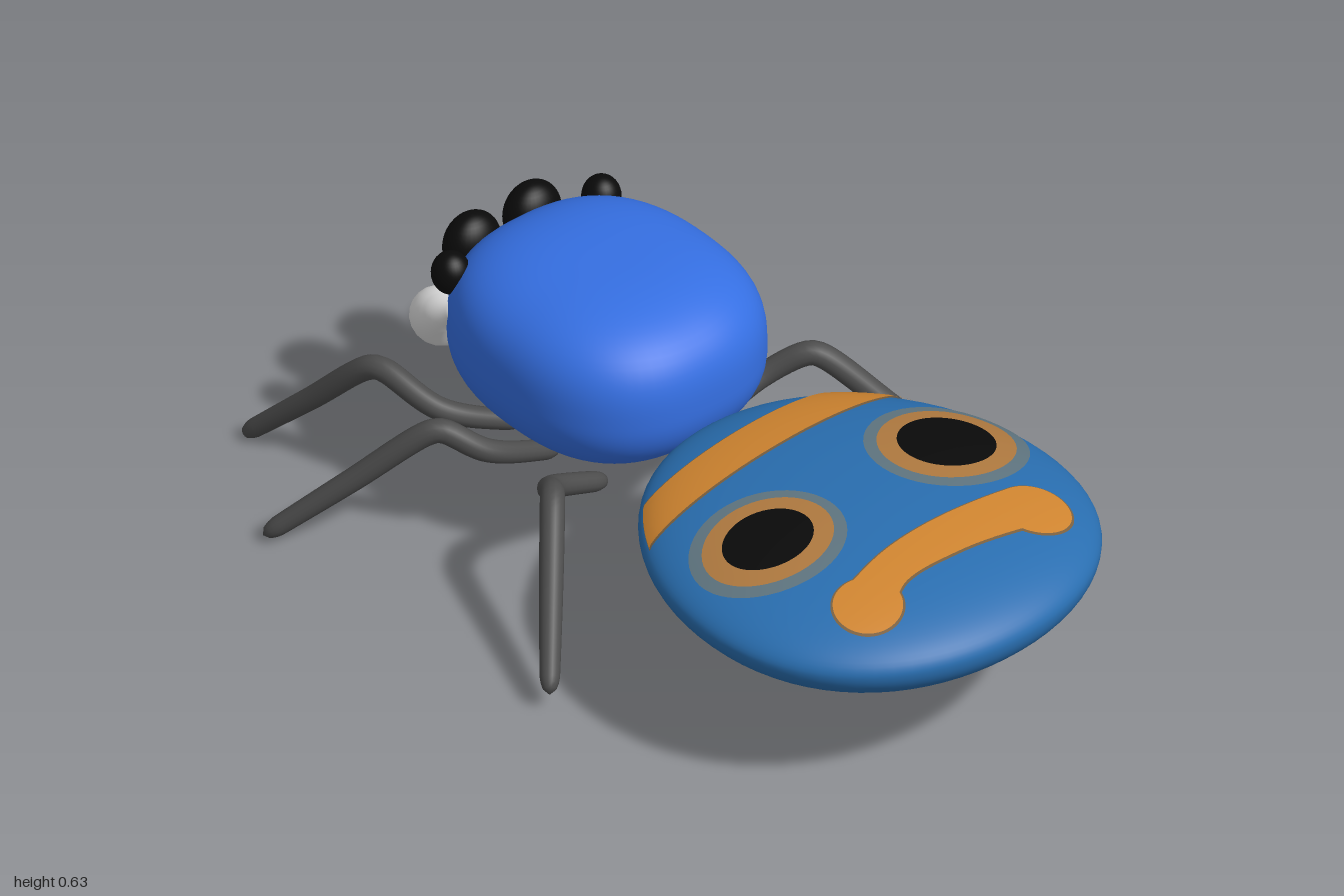
import * as THREE from 'three';
import { mergeVertices } from 'three/addons/utils/BufferGeometryUtils.js';

const mat = (name, color) => {
  const m = new THREE.MeshStandardMaterial({ color });
  m.name = name;
  return m;
};

const Z0 = -0.023; // the body axis

// Sphere reshaped into a superellipsoid of unit size, then mapped by a rule
function superEllipsoid(n, top, bottom, map) {
  let g = new THREE.SphereGeometry(1, 72, 48);
  g.deleteAttribute('uv');
  g.deleteAttribute('normal');
  const p = g.attributes.position;
  const v = new THREE.Vector3();
  for (let i = 0; i < p.count; i++) {
    v.fromBufferAttribute(p, i);
    const m = v.y > 0 ? top : bottom;
    const flat = Math.abs(v.x) ** n + Math.abs(v.z) ** n;
    v.multiplyScalar((flat ** (m / n) + Math.abs(v.y) ** m) ** (-1 / m));
    map(v);
    p.setXYZ(i, v.x, v.y, v.z);
  }
  g = mergeVertices(g, 1e-5);
  g.computeVertexNormals();
  return g;
}

// Abdomen: flat lens, widest behind its middle
const AB = { n: 2.05, y: 0.357, top: 0.118, bottom: 0.158, half: 0.478, skew: 0.05 };
function abdomenMap(v) {
  v.x = 0.5 + 0.5 * v.x + AB.skew * (1 - v.x * v.x);
  v.y = AB.y + v.y * (v.y > 0 ? AB.top : AB.bottom);
  v.z = Z0 + v.z * AB.half;
  return v;
}
// Point on the upper side above x, z, pulled inside the rim where needed
function onAbdomen(x, z) {
  const c = (0.5 - Math.sqrt(0.25 + 4 * AB.skew * (AB.skew + 0.5 - x))) / (2 * AB.skew);
  const w = (z - Z0) / AB.half;
  const r = (Math.abs(c) ** AB.n + Math.abs(w) ** AB.n) ** (1 / AB.n);
  const k = Math.min(1, 0.98 / r);
  return abdomenMap(new THREE.Vector3(c * k, Math.sqrt(1 - (r * k) ** 2), w * k));
}

// Lays a flat patch onto the top of the abdomen
function drape(g, place, lift) {
  g.rotateX(-Math.PI / 2);
  const p = g.attributes.position;
  for (let i = 0; i < p.count; i++) {
    const q = onAbdomen(...place(p.getX(i), p.getZ(i)));
    p.setXYZ(i, q.x, q.y + lift, q.z);
  }
  g.computeVertexNormals();
  return g;
}
const disc = (cx, cz, rx, rz, lift) =>
  drape(new THREE.RingGeometry(0.001, 1, 48, 8), (x, z) => [cx + x * rx, cz + z * rz], lift);

// Ribbon between two edges, each a list of [x, z] running from back (-z) to front (+z)
function ribbon(left, right, lift) {
  const curve = (pts) => new THREE.CatmullRomCurve3(pts.map(([x, z]) => new THREE.Vector3(x, 0, z)));
  const a = curve(left), b = curve(right);
  return drape(new THREE.PlaneGeometry(1, 1, 10, 60), (u, t) => {
    const k = Math.min(1, Math.max(0, t + 0.5));
    const q = a.getPoint(k).lerp(b.getPoint(k), u + 0.5);
    return [q.x, q.z];
  }, lift);
}

// Tube with a radius that changes along its length and rounded ends
function limb(points, radius, sides = 14, steps = 60) {
  const curve = new THREE.CatmullRomCurve3(points.map((q) => new THREE.Vector3(...q)), false, 'centripetal');
  const g = new THREE.TubeGeometry(curve, steps, 1, sides, false);
  const p = g.attributes.position, v = new THREE.Vector3();
  for (let i = 0; i <= steps; i++) {
    const t = i / steps, c = curve.getPointAt(t);
    const e = Math.min(1, Math.min(t, 1 - t) / 0.06);
    const r = radius(t) * Math.sqrt(Math.max(0, 1 - (1 - e) ** 2));
    for (let j = 0; j <= sides; j++) {
      const k = i * (sides + 1) + j;
      v.fromBufferAttribute(p, k).sub(c).multiplyScalar(r).add(c);
      p.setXYZ(k, v.x, v.y, v.z);
    }
  }
  g.deleteAttribute('uv');
  g.deleteAttribute('normal');
  const m = mergeVertices(g, 1e-5);
  m.computeVertexNormals();
  return m;
}

export function createModel() {
  const root = new THREE.Group();
  root.name = 'spider';
  const blue = mat('bodyBlue', 0x356fe2);
  const teal = mat('abdomenBlue', 0x296eb0);
  const orange = mat('stripeOrange', 0xd08530);
  const tan = mat('ringTan', 0xb07a40);
  const halo = mat('haloGrey', 0x5f7580);
  const brown = mat('edgeBrown', 0x7a6040);
  const grey = mat('legGrey', 0x4c4c4c);
  const black = mat('eyeBlack', 0x0a0a0a);
  const white = mat('palpWhite', 0xdedede);
  const add = (name, g, m, parent = root) => {
    const mesh = new THREE.Mesh(g, m);
    mesh.name = name;
    parent.add(mesh);
    return mesh;
  };

  // Head and thorax
  add('thorax', superEllipsoid(2.45, 2.9, 2.2, (v) => {
    v.set(-0.332 + v.x * 0.338, 0.42 + v.y * 0.21, Z0 + v.z * 0.306);
  }), blue);

  // Abdomen with markings
  const abdomen = new THREE.Group();
  abdomen.name = 'abdomen';
  root.add(abdomen);
  add('abdomenShell', superEllipsoid(AB.n, 2, 2, abdomenMap), teal, abdomen);

  // Stripes, each with a thin dark edge below
  for (const [pad, lift, m, name] of [[0.005, 0.004, brown, 'Edge'], [0, 0.0065, orange, '']]) {
    add('frontStripe' + name, ribbon(
      [[0.1 - pad, -0.32], [0.125 - pad, 0.01], [0.155 - pad, 0.34]],
      [[0.21 + pad, -0.42], [0.24 + pad, 0], [0.27 + pad, 0.395]], lift), m, abdomen);
    add('rearStripe' + name, ribbon(
      [[0.677 - pad, -0.29], [0.677 - pad, -0.05], [0.69 - pad, 0.08], [0.722 - pad, 0.21]],
      [[0.8 + pad, -0.24], [0.785 + pad, -0.05], [0.79 + pad, 0.1], [0.83 + pad, 0.17]], lift), m, abdomen);
    for (const [x, z, r] of [[0.757, -0.285, 0.08], [0.787, 0.205, 0.075]])
      add('rearStripeEnd' + name, disc(x, z, r + pad, r + pad, lift), m, abdomen);
  }

  // Eye spots
  for (const [x, z, rx, rz] of [[0.465, -0.29, 0.105, 0.107], [0.487, 0.228, 0.09, 0.103]]) {
    add('spotHalo', disc(x, z, rx + 0.07, rz + 0.072, 0.004), halo, abdomen);
    add('spotRing', disc(x, z, rx + 0.04, rz + 0.045, 0.0065), tan, abdomen);
    add('spotCentre', disc(x, z, rx, rz, 0.009), black, abdomen);
  }

  // Eyes and palps, on both sides
  for (const s of [-1, 1]) {
    const side = s < 0 ? 'right' : 'left';
    const big = add(side + 'MainEye', new THREE.SphereGeometry(1, 32, 20), black);
    big.scale.set(0.053, 0.076, 0.07);
    big.position.set(-0.675, 0.51, Z0 + s * 0.084);
    const small = add(side + 'SideEye', new THREE.SphereGeometry(1, 32, 20), black);
    small.scale.set(0.043, 0.05, 0.043);
    small.position.set(-0.596, 0.537, Z0 + s * 0.21);
    add(side + 'Palp', limb([
      [-0.545, 0.475, Z0 + s * 0.235], [-0.61, 0.43, Z0 + s * 0.225],
      [-0.66, 0.38, Z0 + s * 0.19], [-0.685, 0.31, Z0 + s * 0.125],
    ], (t) => 0.016 + 0.048 * Math.sin(Math.PI * Math.min(1, t ** 1.35 * 0.85)), 20), white);
  }

  // Legs: tip, knee, shin and inner foot, for the right and the left side
  const legs = {
    rightFront: [[-1, 0.005, -0.42], [-0.68, 0.313, -0.36], [-0.54, 0.245, -0.3], [-0.46, 0.175, -0.14]],
    leftFront: [[-0.99, 0.005, 0.43], [-0.68, 0.313, 0.325], [-0.54, 0.245, 0.265], [-0.46, 0.175, 0.095]],
    rightMiddle: [[-0.7, 0.003, -0.645], [-0.44, 0.307, -0.4], [-0.365, 0.25, -0.32], [-0.345, 0.17, -0.15]],
    leftMiddle: [[-0.68, 0.013, 0.64], [-0.43, 0.307, 0.37], [-0.36, 0.25, 0.29], [-0.345, 0.17, 0.1]],
    rightRear: [[0.155, 0.045, -0.64], [-0.115, 0.313, -0.415], [-0.18, 0.25, -0.32], [-0.19, 0.175, -0.15]],
    leftRear: [[0.18, 0.045, 0.575], [-0.085, 0.313, 0.34], [-0.17, 0.25, 0.27], [-0.19, 0.175, 0.1]],
  };
  for (const [name, [tip, knee, shin, foot]] of Object.entries(legs)) {
    // extra points beside the knee keep both segments straight
    const near = (a, b, k) => a.map((q, i) => q + (b[i] - q) * k);
    add(name + 'Leg', limb([tip, near(tip, knee, 0.5), near(tip, knee, 0.96), near(knee, shin, 0.12), shin, foot],
      (t) => 0.021 + 0.006 * Math.sin(Math.PI * Math.min(1, t * 0.95))), grey);
  }
  return root;
}
